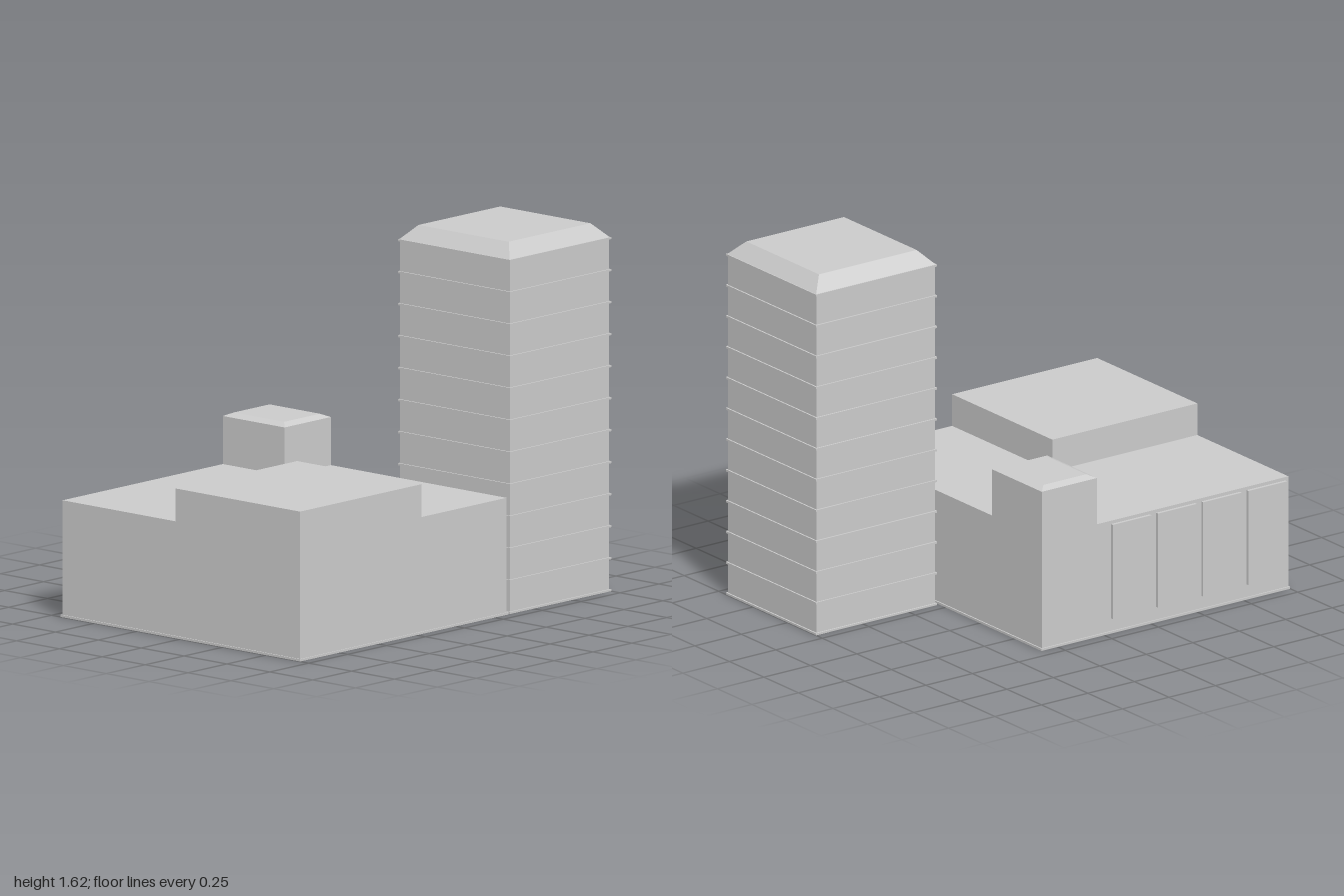
import * as THREE from 'three';

const grey = new THREE.MeshStandardMaterial({ color: 0xcccccc, side: THREE.DoubleSide, flatShading: true });

function add(parent, name, geometry) {
  const mesh = new THREE.Mesh(geometry, grey);
  mesh.name = name;
  parent.add(mesh);
  return mesh;
}

// Box between two corners, keeping only the chosen faces (+x, -x, +y, -y, +z, -z = 0..5)
// and optionally pulling the top corners inwards
function block(x0, x1, y0, y1, z0, z1, faces = [0, 1, 2, 3, 4, 5], inset = 0) {
  const w = x1 - x0, h = y1 - y0, d = z1 - z0;
  const g = new THREE.BoxGeometry(w, h, d);
  const p = g.attributes.position;
  for (let i = 0; i < p.count; i++) {
    if (p.getY(i) > 0) {
      p.setX(i, p.getX(i) - Math.sign(p.getX(i)) * inset);
      p.setZ(i, p.getZ(i) - Math.sign(p.getZ(i)) * inset);
    }
  }
  const index = Array.from(g.index.array);
  g.setIndex(faces.flatMap(f => index.slice(f * 6, f * 6 + 6)));
  g.clearGroups();
  g.computeVertexNormals();
  return g.translate((x0 + x1) / 2, (y0 + y1) / 2, (z0 + z1) / 2);
}

const WALLS = [0, 1, 4, 5];
const OPEN_BOTTOM = [0, 1, 2, 4, 5];

const rectangle = (x0, x1, z0, z1) =>
  [[x0, -z0], [x0, -z1], [x1, -z1], [x1, -z0]].map(([x, y]) => new THREE.Vector2(x, y));

// Thin rectangular frame running round a building
function ring(x0, x1, z0, z1, y, height, width) {
  const shape = new THREE.Shape(rectangle(x0, x1, z0, z1));
  shape.holes.push(new THREE.Path(rectangle(x0 + width, x1 - width, z0 + width, z1 - width)));
  const g = new THREE.ExtrudeGeometry(shape, { depth: height, bevelEnabled: false });
  return g.rotateX(-Math.PI / 2).translate(0, y, 0);
}

export function createModel() {
  const model = new THREE.Group();
  model.name = 'buildingComplex';

  // Low hall, open underneath, with an L-shaped roof round the raised corner
  const hall = new THREE.Group();
  hall.name = 'hall';
  model.add(hall);
  const L = -0.69, R = 0.695, B = -0.332, F = 0.995, roofY = 0.515, stepX = -0.03, stepZ = 0.215;
  add(hall, 'hallWalls', block(L, R, 0, roofY, B, F, WALLS));
  const roof = new THREE.Shape([[L, B], [L, F], [stepX, F], [stepX, stepZ], [R, stepZ], [R, B]]
    .map(([x, z]) => new THREE.Vector2(x, -z)));
  add(hall, 'hallRoof', new THREE.ShapeGeometry(roof).rotateX(-Math.PI / 2).translate(0, roofY, 0));
  add(hall, 'raisedHall', block(stepX, R, roofY, 0.66, stepZ, F, OPEN_BOTTOM));
  add(hall, 'hallBaseTrim', ring(-0.696, 0.7, -0.338, 1, 0, 0.01, 0.012));
  add(hall, 'innerShelf', block(-0.13, -0.02, 0.41, 0.415, 0.87, 0.99));

  // Row of tall panels on the side wall
  for (let i = 0; i < 4; i++) {
    const z = 0.04 + i * 0.243;
    add(hall, 'sidePanel', block(-0.704, -0.625, 0.068, 0.5, z, z + 0.208));
  }

  // Rooftop penthouse with a shallow sloped cap
  const penthouse = new THREE.Group();
  penthouse.name = 'penthouse';
  model.add(penthouse);
  add(penthouse, 'penthouseWalls', block(L, -0.33, roofY, 0.727, B, -0.035, WALLS));
  add(penthouse, 'penthouseCap', block(L, -0.33, 0.727, 0.742, B, -0.035, OPEN_BOTTOM, 0.033));

  // Tower, open underneath, with a ledge at every floor and a sloped roof
  const tower = new THREE.Group();
  tower.name = 'tower';
  model.add(tower);
  add(tower, 'towerWalls', block(0.052, 0.692, 0, 1.56, -0.993, -0.356, WALLS));
  for (let i = 0; i < 12; i++) {
    add(tower, 'floorLedge', ring(0.045, 0.699, -1, -0.349, i * 0.1412, 0.009, 0.014));
  }
  add(tower, 'towerRoof', block(0.05, 0.694, 1.562, 1.624, -0.996, -0.353, OPEN_BOTTOM, 0.059));

  return model;
}
